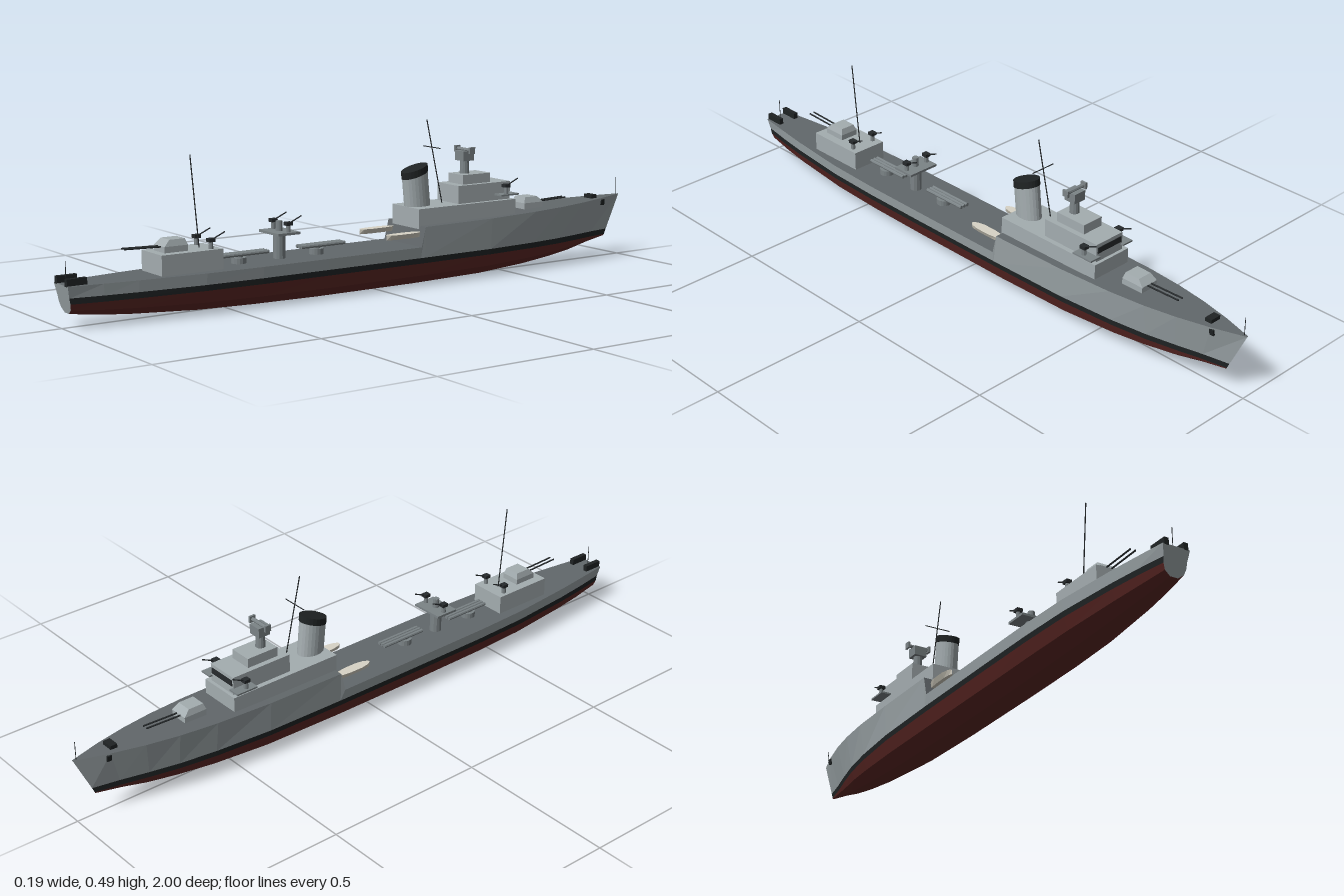
import * as THREE from 'three';

const mat = (color) => new THREE.MeshStandardMaterial({ color, flatShading: true });
const M = {
  hull: mat(0x9aa3a6), deck: mat(0x62686b), house: mat(0xa4adb0), dark: mat(0x262a2c),
  black: mat(0x1f2324), red: mat(0x5e2825), boat: mat(0xd8d4c6), metal: mat(0x7c8487),
};

export function createModel() {
  const root = new THREE.Group();

  const add = (name, geo, material, x = 0, y = 0, z = 0, parent = root) => {
    const m = new THREE.Mesh(geo, material);
    m.name = name;
    m.position.set(x, y, z);
    parent.add(m);
    return m;
  };
  // Box given by its ranges in y and z, centred on x
  const block = (name, material, x, w, y0, y1, z0, z1, parent) =>
    add(name, new THREE.BoxGeometry(w, y1 - y0, z1 - z0), material, x, (y0 + y1) / 2, (z0 + z1) / 2, parent);
  // Thin round bar between two points
  const bar = (name, a, b, r, material = M.dark, parent = root) => {
    const p = new THREE.Vector3(...a), q = new THREE.Vector3(...b);
    const m = add(name, new THREE.CylinderGeometry(r, r, p.distanceTo(q), 8), material, 0, 0, 0, parent);
    m.position.copy(p).lerp(q, 0.5);
    m.quaternion.setFromUnitVectors(new THREE.Vector3(0, 1, 0), q.sub(p).normalize());
    return m;
  };
  // Skin over sections that run towards +z, each counterclockwise seen from +z
  const skin = (rings) => {
    const n = rings[0].length, index = [];
    for (let i = 0; i < rings.length - 1; i++)
      for (let j = 0; j < n - 1; j++) {
        const a = i * n + j, b = a + 1, d = a + n, c = d + 1;
        index.push(a, b, d, b, c, d);
      }
    const g = new THREE.BufferGeometry();
    g.setAttribute('position', new THREE.Float32BufferAttribute(rings.flat(2), 3));
    g.setIndex(index);
    g.computeVertexNormals();
    return g;
  };

  // Hull stations: z, deck half width, waterline half width, deck y, keel y, rake
  const stations = [
    [-1, 0.002, 0.002, 0.198, 0.066, 0.47],
    [-0.9, 0.033, 0.018, 0.195, 0.053, 0.3],
    [-0.8, 0.057, 0.038, 0.192, 0.037, 0.15],
    [-0.7, 0.074, 0.057, 0.189, 0.026, 0.05],
    [-0.58, 0.086, 0.073, 0.186, 0.015, 0],
    [-0.4, 0.093, 0.087, 0.182, 0.004, 0],
    [-0.145, 0.095, 0.091, 0.18, 0, 0],
    [-0.13, 0.095, 0.091, 0.12, 0, 0],
    [0.2, 0.095, 0.091, 0.12, 0, 0],
    [0.42, 0.094, 0.09, 0.12, 0.003, 0],
    [0.6, 0.088, 0.084, 0.12, 0.008, 0],
    [0.8, 0.069, 0.065, 0.12, 0.02, 0],
    [0.9, 0.056, 0.052, 0.12, 0.028, -0.08],
    [1, 0.042, 0.036, 0.12, 0.04, -0.2],
  ];
  const sections = stations.map(([z, hw, wl, deckY, keel, rake]) => {
    const right = [
      [wl * 0.34, keel], [wl * 0.82, keel + (0.07 - keel) * 0.43], [wl * 0.98, 0.07], [wl, 0.087], [hw, deckY],
    ].map(([x, y]) => [x, y, z + rake * (deckY - y)]);
    const left = right.map(([x, y, zz]) => [-x, y, zz]);
    return { right, left };
  });
  const hull = new THREE.Group();
  hull.name = 'hull';
  root.add(hull);
  const strip = (name, material, pick) => add(name, skin(sections.map(pick)), material, 0, 0, 0, hull);
  strip('lowerHull', M.red, ({ right: r, left: l }) => [l[2], l[1], l[0], r[0], r[1], r[2]]);
  strip('waterlineLeft', M.black, ({ right: r }) => [r[2], r[3]]);
  strip('waterlineRight', M.black, ({ left: l }) => [l[3], l[2]]);
  strip('sideLeft', M.hull, ({ right: r }) => [r[3], r[4]]);
  strip('sideRight', M.hull, ({ left: l }) => [l[4], l[3]]);
  strip('deck', M.deck, ({ right: r, left: l }) => [r[4], l[4]]);
  // Transom: quads between the left and right edges of the last section
  const last = sections[sections.length - 1];
  add('transom', skin([last.left, last.right].map((s) => s.slice().reverse())), M.hull, 0, 0, 0, hull)
    .material = Object.assign(mat(0x9aa3a6), { side: THREE.DoubleSide });

  // Superstructure tiers
  block('deckHouse', M.house, 0, 0.136, 0.17, 0.23, -0.51, -0.14);
  block('bridge', M.house, 0, 0.105, 0.23, 0.285, -0.5, -0.3);
  block('upperBridge', M.house, 0, 0.072, 0.285, 0.314, -0.435, -0.33);
  block('bridgeWindows', M.dark, 0, 0.095, 0.256, 0.274, -0.502, -0.49);
  block('aftDeckHouse', M.house, 0, 0.115, 0.118, 0.178, 0.53, 0.725);

  // Gun director with rangefinder
  const dz = -0.363;
  add('directorPedestal', new THREE.CylinderGeometry(0.013, 0.015, 0.045, 12), M.metal, 0, 0.335, dz);
  block('directorHead', M.metal, 0, 0.042, 0.354, 0.384, dz - 0.02, dz + 0.02);
  bar('rangefinder', [-0.036, 0.387, dz], [0.036, 0.387, dz], 0.006, M.metal);
  for (const s of [-1, 1]) block('rangefinderEnd', M.metal, s * 0.036, 0.007, 0.377, 0.397, dz - 0.01, dz + 0.01);

  // Funnel: oval tube leaning aft, with a slanted top
  const funnelPart = (name, y0, y1, material, grow, tilt0) => {
    const g = new THREE.CylinderGeometry(1, 1, 1, 24);
    const p = g.attributes.position;
    for (let i = 0; i < p.count; i++) {
      const top = p.getY(i) > 0, c = p.getZ(i);
      const y = top ? y1 - c * 0.013 : y0 - c * tilt0;
      p.setXYZ(i, p.getX(i) * (0.032 + grow), y, -0.186 + c * (0.043 + grow) + (y - 0.2) * 0.1);
    }
    g.computeVertexNormals();
    add(name, g, material);
  };
  funnelPart('funnel', 0.2, 0.33, M.house, 0, 0);
  funnelPart('funnelCap', 0.324, 0.345, M.black, 0.0015, 0.013);

  // Masts and staffs
  bar('foreMast', [0, 0.228, -0.277], [0, 0.488, -0.218], 0.0017);
  bar('mastYard', [-0.042, 0.403, -0.237], [0.042, 0.403, -0.237], 0.0015);
  bar('aftMast', [0, 0.178, 0.575], [0, 0.44, 0.6], 0.0017);
  bar('jackStaff', [0, 0.195, -0.988], [0, 0.252, -0.988], 0.001);
  bar('sternStaff', [0, 0.118, 0.985], [0, 0.182, 0.985], 0.001);

  // Twin gun turrets; built with the barrels towards +z
  const turret = (name, y, z, turn) => {
    const t = new THREE.Group();
    t.name = name;
    t.position.set(0, y, z);
    t.rotation.y = turn;
    root.add(t);
    block('turretBase', M.house, 0, 0.06, -0.004, 0.017, -0.036, 0.038, t);
    const g = new THREE.BoxGeometry(0.06, 0.018, 0.074);
    const p = g.attributes.position;
    for (let i = 0; i < p.count; i++)
      if (p.getY(i) > 0) {
        p.setX(i, p.getX(i) * 0.8);
        p.setZ(i, p.getZ(i) > 0 ? 0.018 : -0.031);
      }
    g.computeVertexNormals();
    add('turretRoof', g, M.house, 0, 0.026, 0.001, t);
    for (const s of [-1, 1]) bar('gunBarrel', [s * 0.008, 0.015, 0.03], [s * 0.008, 0.019, 0.15], 0.0025, M.dark, t);
  };
  turret('forwardTurret', 0.188, -0.615, Math.PI);
  turret('aftTurret', 0.178, 0.663, 0);

  // Light guns, aimed forward and up
  const lightGun = (x, y, z) => {
    const g = new THREE.Group();
    g.name = 'lightGun';
    g.position.set(x, y, z);
    root.add(g);
    add('gunPedestal', new THREE.CylinderGeometry(0.006, 0.007, 0.024, 8), M.metal, 0, 0.012, 0, g);
    block('gunBody', M.dark, 0, 0.018, 0.02, 0.03, -0.01, 0.01, g);
    bar('gunBarrel', [0, 0.026, -0.004], [0, 0.044, -0.045], 0.002, M.dark, g);
  };
  for (const s of [-1, 1]) {
    block('bridgeWing', M.metal, s * 0.066, 0.038, 0.245, 0.25, -0.51, -0.44);
    lightGun(s * 0.071, 0.25, -0.47);
    lightGun(s * 0.04, 0.2, 0.305);
    lightGun(s * 0.04, 0.178, 0.56);
  }

  // Raised gun platform amidships
  add('platformColumn', new THREE.CylinderGeometry(0.018, 0.018, 0.075, 12), M.metal, 0, 0.156, 0.31);
  block('gunPlatform', M.metal, 0, 0.105, 0.193, 0.2, 0.272, 0.346);
  add('platformPost', new THREE.CylinderGeometry(0.01, 0.01, 0.03, 12), M.metal, 0, 0.214, 0.31);

  // Triple torpedo mounts
  for (const z of [0.167, 0.43]) {
    add('torpedoBase', new THREE.CylinderGeometry(0.022, 0.022, 0.018, 16), M.metal, 0, 0.128, z + 0.016);
    add('torpedoPivot', new THREE.CylinderGeometry(0.012, 0.012, 0.01, 12), M.metal, 0, 0.141, z + 0.016);
    for (const x of [-0.012, 0, 0.012])
      bar('torpedoTube', [x, 0.146, z - 0.076], [x, 0.146, z + 0.076], 0.0055, M.metal);
  }

  // Ship's boats, depth charge racks and anchors on both sides
  const boatRings = [[-0.143, 0.004], [-0.128, 0.012], [-0.1, 0.016], [-0.055, 0.016], [-0.03, 0.011], [-0.018, 0.003]]
    .map(([z, w]) => [[-w * 0.5, 0.148, z], [w * 0.5, 0.148, z], [w, 0.163, z], [-w, 0.163, z], [-w * 0.5, 0.148, z]]);
  for (const s of [-1, 1]) {
    add('boat', skin(boatRings), M.boat, s * 0.069, 0, 0);
    block('depthChargeRack', M.black, s * 0.03, 0.014, 0.118, 0.139, 0.94, 1);
    const anchor = add('anchor', new THREE.BoxGeometry(0.006, 0.018, 0.014), M.black, s * 0.031, 0.181, -0.904);
    anchor.rotation.z = -s * 0.15;
  }
  block('windlass', M.black, 0, 0.036, 0.19, 0.206, -0.89, -0.868);

  return root;
}
